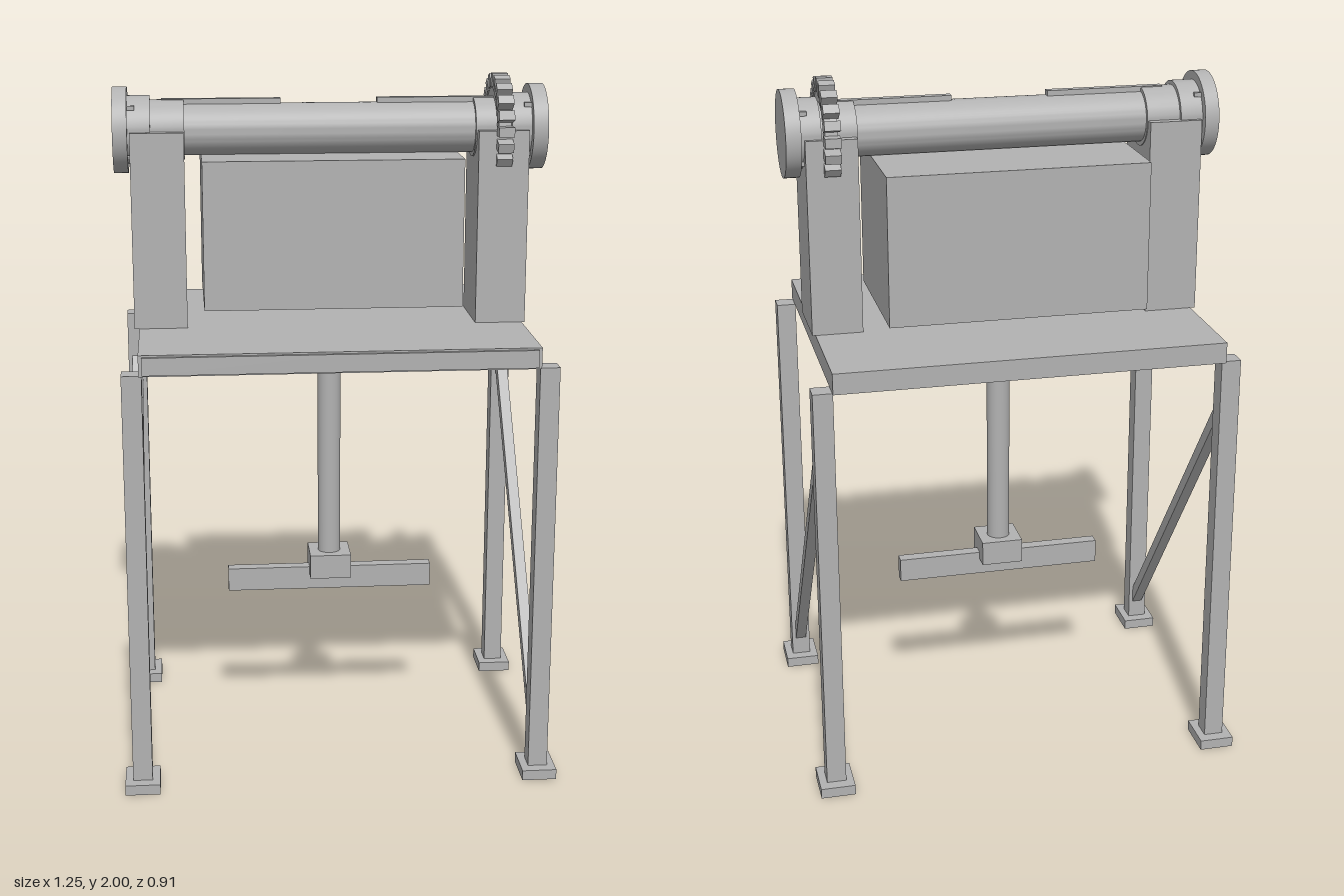
import * as THREE from 'three';
import { toCreasedNormals } from 'three/addons/utils/BufferGeometryUtils.js';

const AXIS_Y = 1.85, AXIS_Z = -0.003;

export function createModel() {
  const model = new THREE.Group();
  model.name = 'rollerStand';
  const steel = new THREE.MeshStandardMaterial({ color: 0xb2b2b2 });
  steel.name = 'steel grey';

  const add = (name, geometry, parent = model) => {
    const mesh = new THREE.Mesh(geometry, steel);
    mesh.name = name;
    parent.add(mesh);
    return mesh;
  };
  // Box given by its extents on each axis
  const box = (name, x0, x1, y0, y1, z0, z1, parent) => {
    const mesh = add(name, new THREE.BoxGeometry(x1 - x0, y1 - y0, z1 - z0), parent);
    mesh.position.set((x0 + x1) / 2, (y0 + y1) / 2, (z0 + z1) / 2);
    return mesh;
  };

  // Legs and feet
  for (const sx of [-1, 1]) {
    for (const sz of [-1, 1]) {
      const x = sx * 0.577, z = sz * 0.394;
      box('leg', x - 0.028, x + 0.028, 0.03, 1.235, z - 0.028, z + 0.028);
      box('foot', x - 0.05, x + 0.05, 0, 0.03, z - 0.061, z + 0.061);
    }
    // Diagonal brace, low at the front and high at the back
    const outline = new THREE.Shape([
      new THREE.Vector2(-0.37, 0.08), new THREE.Vector2(0.37, 1.05),
      new THREE.Vector2(0.37, 1.105), new THREE.Vector2(-0.37, 0.135),
    ]);
    const brace = new THREE.ExtrudeGeometry(outline, { depth: 0.032, bevelEnabled: false });
    brace.translate(0, 0, -0.016).rotateY(Math.PI / 2);
    add('diagonalBrace', brace).position.x = sx * 0.577;
  }

  // Table top with a two-piece front strip
  box('tableTop', -0.557, 0.551, 1.235, 1.295, -0.435, 0.432);
  box('frontStrip', -0.547, -0.003, 1.24, 1.29, 0.432, 0.442);
  box('frontStrip', -0.003, 0.541, 1.24, 1.29, 0.432, 0.442);

  // Hanging shaft, collar and crossbar
  add('hangingShaft', new THREE.CylinderGeometry(0.034, 0.034, 0.675, 40)).position.set(-0.003, 0.9, 0);
  box('shaftCollar', -0.064, 0.059, 0.497, 0.57, -0.061, 0.061);
  box('crossbar', -0.311, 0.306, 0.45, 0.52, -0.018, 0.018);

  // Housing and bearing posts
  box('housing', -0.371, 0.367, 1.357, 1.78, -0.277, 0.171);
  box('leftPost', 0.415, 0.56, 1.295, 1.85, -0.113, 0.11);
  box('rightPost', -0.571, -0.419, 1.295, 1.853, -0.113, 0.11);

  // Stepped roller, turned about the x axis: [radius, x]
  const roller = new THREE.Group();
  roller.name = 'rollerAssembly';
  roller.position.set(0, AXIS_Y, AXIS_Z);
  model.add(roller);
  const profile = [
    [0, -0.618], [0.122, -0.618], [0.122, -0.577], [0.097, -0.577], [0.097, -0.513],
    [0.085, -0.513], [0.085, -0.417], [0.073, -0.417], [0.073, 0.411], [0.085, 0.411],
    [0.085, 0.512], [0.097, 0.512], [0.097, 0.57], [0.122, 0.57], [0.122, 0.613], [0, 0.613],
  ].map(([r, x]) => new THREE.Vector2(r, x));
  const turned = new THREE.LatheGeometry(profile, 64);
  turned.rotateZ(-Math.PI / 2);
  add('steppedRoller', toCreasedNormals(turned, 0.6), roller);

  // Long keys on top of the roller
  box('rollerKey', -0.48, -0.142, 0.06, 0.087, -0.012, 0.012, roller);
  box('rollerKey', 0.134, 0.48, 0.06, 0.087, -0.012, 0.012, roller);

  // Small pins on the inner side of each end disc
  for (const [x0, x1] of [[-0.578, -0.556], [0.549, 0.571]]) {
    for (const sy of [-1, 1]) for (const sz of [-1, 1]) {
      box('discPin', x0, x1, sy * 0.069 - 0.006, sy * 0.069 + 0.006,
        sz * 0.073 - 0.006, sz * 0.073 + 0.006, roller);
    }
  }

  // Toothed wheel
  const gear = new THREE.Group();
  gear.name = 'gear';
  gear.position.x = 0.488;
  roller.add(gear);
  const hub = new THREE.CylinderGeometry(0.118, 0.118, 0.036, 60);
  hub.rotateZ(Math.PI / 2);
  add('gearBody', hub, gear);
  const teeth = 20;
  for (let i = 0; i < teeth; i++) {
    const tooth = new THREE.BoxGeometry(0.045, 0.04, 0.027);
    tooth.translate(0, 0.132, 0).rotateX((i / teeth) * Math.PI * 2);
    add('gearTooth', tooth, gear);
  }

  return model;
}
